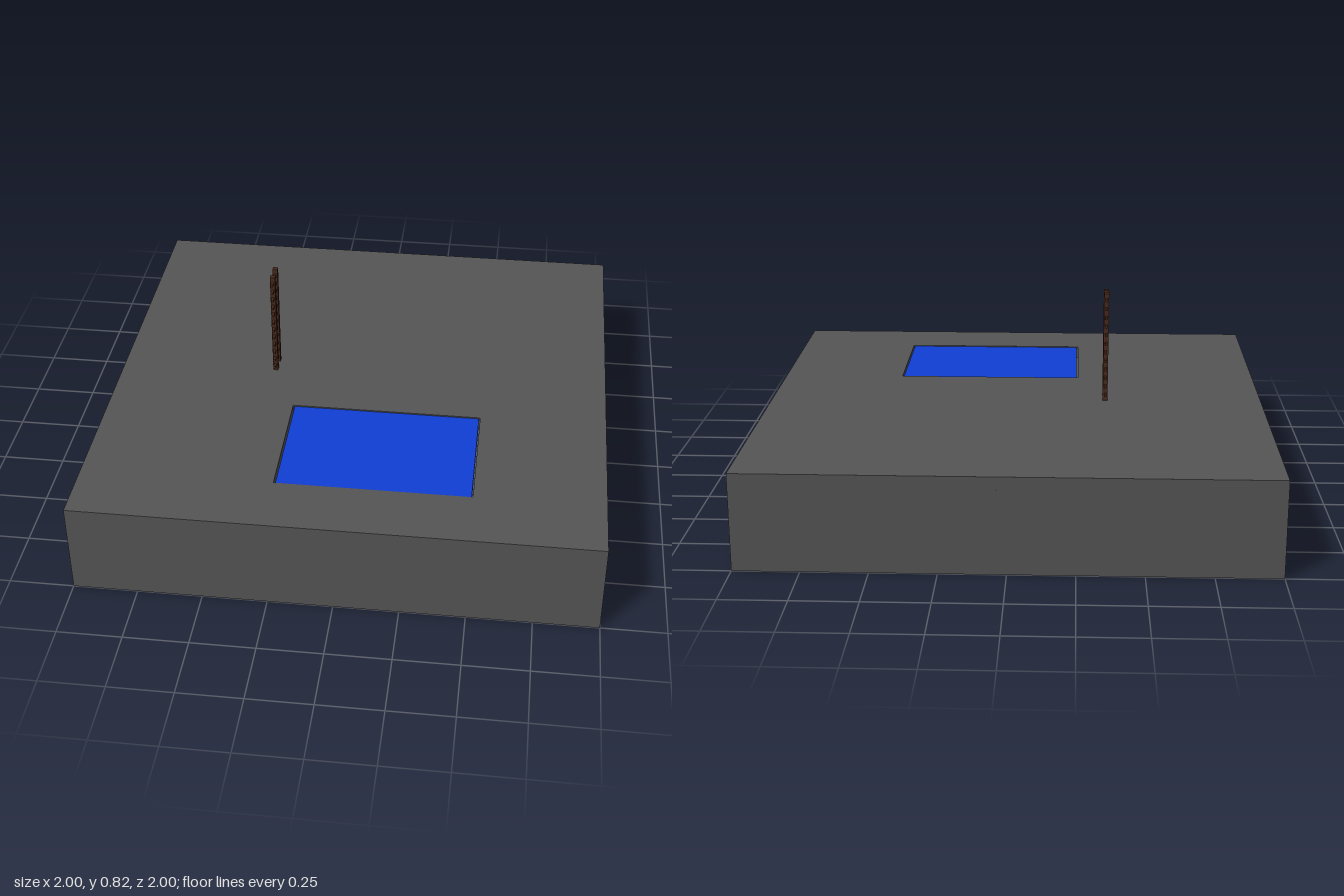
import * as THREE from 'three';

const paint = (color) => {
  const m = new THREE.MeshStandardMaterial();
  m.color.set(color);
  return m;
};

export function createModel() {
  const model = new THREE.Group();
  const stone = paint(0x555555), blue = paint(0x0f3fd6), wood = paint(0x4a2a1c);

  const add = (parent, name, geometry, material, x, y, z) => {
    const mesh = new THREE.Mesh(geometry, material);
    mesh.name = name;
    mesh.position.set(x, y, z);
    parent.add(mesh);
    return mesh;
  };

  // Ground slab: solid base with a top layer that has the pool cut out
  const top = 0.375, poolDepth = 0.05;
  const baseHeight = top - poolDepth;
  add(model, 'groundBase', new THREE.BoxGeometry(2, baseHeight, 2), stone, 0, baseHeight / 2, 0);

  const rect = (path, x0, y0, x1, y1) =>
    path.moveTo(x0, y0).lineTo(x1, y0).lineTo(x1, y1).lineTo(x0, y1).closePath();
  const outline = rect(new THREE.Shape(), -1, -1, 1, 1);
  outline.holes.push(rect(new THREE.Path(), -0.255, -0.75, 0.5, -0.25));
  const layer = new THREE.ExtrudeGeometry(outline, { depth: poolDepth, bevelEnabled: false });
  layer.rotateX(-Math.PI / 2);
  add(model, 'groundTop', layer, stone, 0, baseHeight, 0);

  // Pool water, just below the rim with a narrow gap on the -x side
  const waterHeight = poolDepth - 0.003;
  add(model, 'water', new THREE.BoxGeometry(0.743, waterHeight, 0.494), blue,
    0.1235, baseHeight + waterHeight / 2, 0.5);

  // Upright ladder: two square rails and twelve overhanging rungs
  const ladder = new THREE.Group();
  ladder.name = 'ladder';
  ladder.position.set(-0.365, top, -0.032);
  model.add(ladder);
  const railHeight = 0.448;
  for (const side of [1, -1]) {
    add(ladder, 'ladderRail', new THREE.BoxGeometry(0.02, railHeight, 0.02), wood,
      0, railHeight / 2, side * 0.032);
  }
  const rung = new THREE.BoxGeometry(0.01, 0.01, 0.13);
  for (let i = 0; i < 12; i++) add(ladder, 'ladderRung', rung, wood, 0, 0.027 + i * 0.036, 0);

  return model;
}
